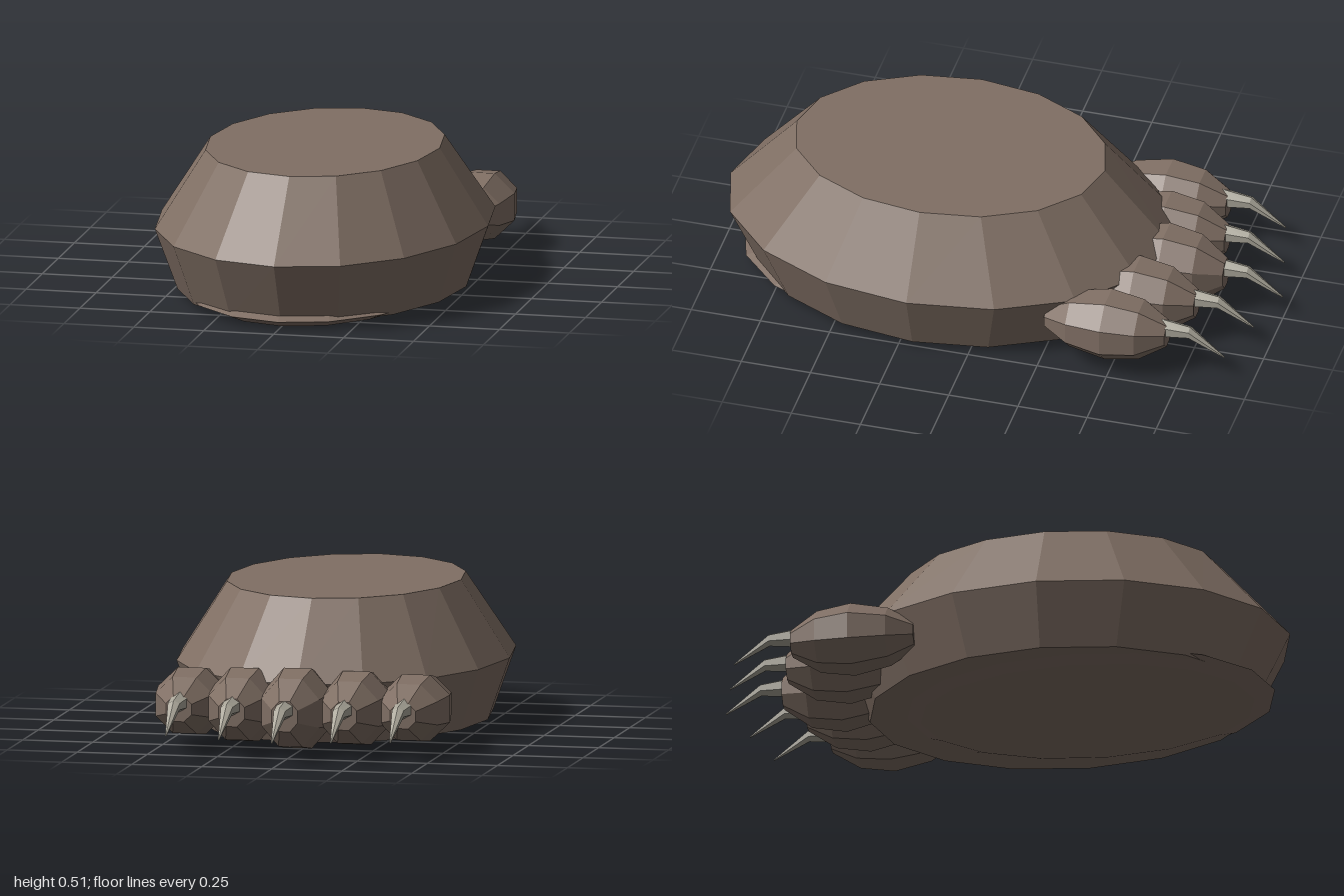
import * as THREE from 'three';

const fur = new THREE.MeshStandardMaterial({ color: 0x806f64, flatShading: true });
fur.name = 'brownFur';
const horn = new THREE.MeshStandardMaterial({ color: 0xaaa699, flatShading: true });
horn.name = 'greyClaw';

// Closed loft through elliptical rings [height, radiusX, radiusZ, centreZ]
function loft(rings, sides, turn = 0) {
  const positions = [];
  const point = ([h, rx, rz, cz], i) => {
    const a = ((i + turn) / sides) * Math.PI * 2;
    return [rx * Math.cos(a), h, cz + rz * Math.sin(a)];
  };
  const tri = (...corners) => corners.forEach((c) => positions.push(...c));
  const first = rings[0];
  const last = rings[rings.length - 1];
  for (let i = 0; i < sides; i++) {
    for (let k = 0; k + 1 < rings.length; k++) {
      const a = point(rings[k], i), b = point(rings[k], i + 1);
      const c = point(rings[k + 1], i), d = point(rings[k + 1], i + 1);
      tri(a, c, b);
      tri(b, c, d);
    }
    tri([0, first[0], first[3]], point(first, i), point(first, i + 1));
    tri([0, last[0], last[3]], point(last, i + 1), point(last, i));
  }
  const geometry = new THREE.BufferGeometry();
  geometry.setAttribute('position', new THREE.Float32BufferAttribute(positions, 3));
  geometry.computeVertexNormals();
  return geometry;
}

function part(name, geometry, material) {
  const mesh = new THREE.Mesh(geometry, material);
  mesh.name = name;
  return mesh;
}

export function createModel() {
  const model = new THREE.Group();
  model.name = 'clawedPaw';

  // Main foot, widest below the middle
  model.add(part('foot', loft([
    [0.02, 0.505, 0.69, 0.2],
    [0.24, 0.583, 0.797, 0.2],
    [0.51, 0.41, 0.557, 0.2],
  ], 16), fur));

  // Thin bevelled sole pad, set slightly forward
  model.add(part('sole', loft([
    [0, 0.385, 0.59, 0.28],
    [0.03, 0.46, 0.663, 0.28],
    [0.043, 0.43, 0.625, 0.28],
  ], 16), fur));

  // Five toes, the middle one reaching furthest back
  for (let i = -2; i <= 2; i++) {
    const step = Math.abs(i);
    const toe = new THREE.Group();
    toe.name = 'toe' + (i + 3);
    toe.position.set(i * 0.2, 0.155, -0.58 + step * 0.05);

    const rx = 0.131;
    const ry = 0.152 - step * 0.013;
    const pad = loft([[-0.22, 0.38], [-0.13, 0.8], [0, 1], [0.12, 0.85], [0.215, 0.38]]
      .map(([h, s]) => [h, rx * s, ry * s, 0]), 8, 0.5);
    pad.rotateX(-Math.PI / 2);
    toe.add(part('toePad', pad, fur));

    // Claw running out level, then hooking down to a point
    const claw = loft([
      [0.12, 0.036, 0.04, 0.025],
      [0.19, 0.036, 0.036, 0.022],
      [0.295, 0.024, 0.022, 0.02],
      [0.42, 0.003, 0.003, -0.063],
    ], 6, 0.5);
    claw.rotateX(-Math.PI / 2);
    toe.add(part('claw', claw, horn));
    model.add(toe);
  }
  return model;
}
